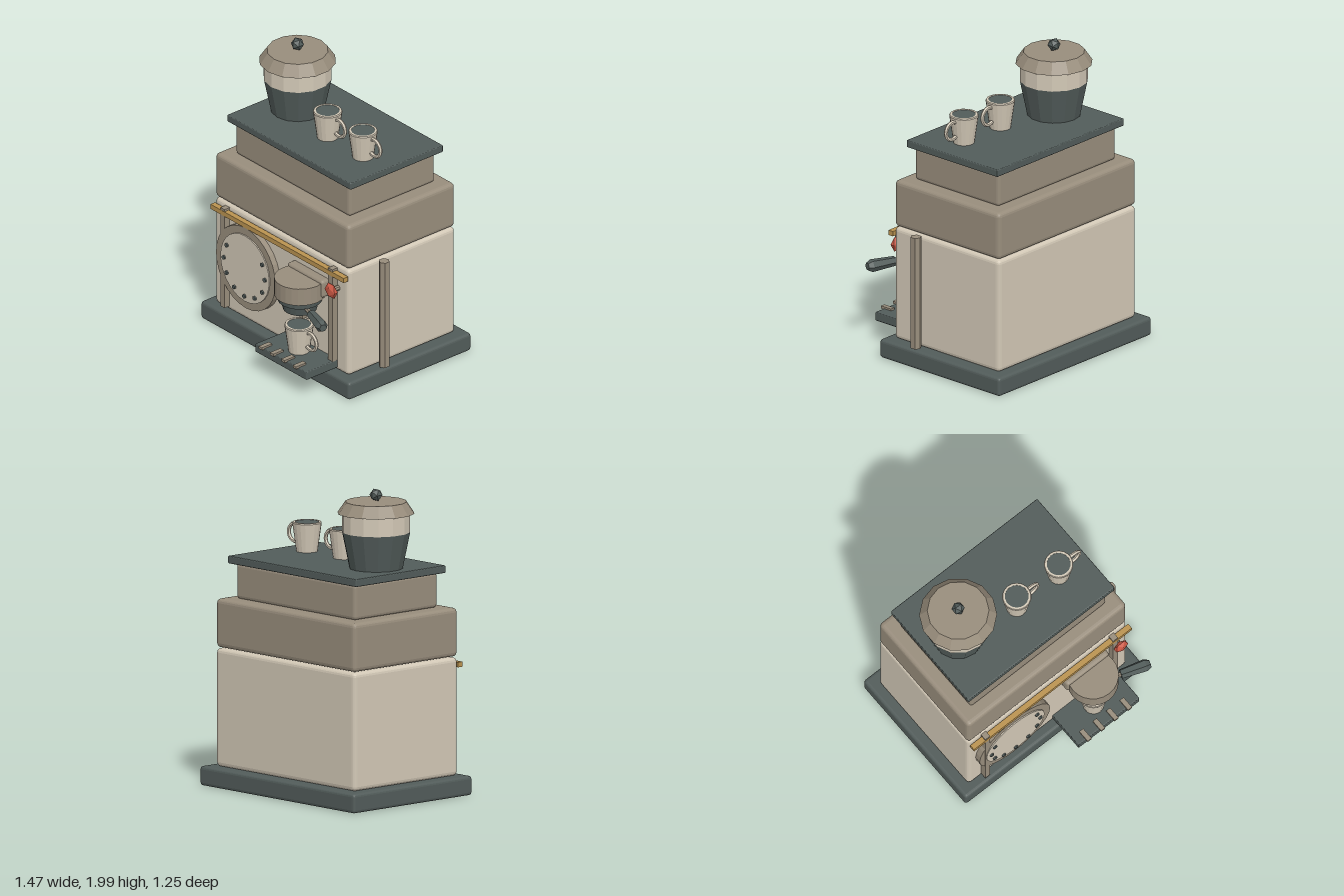
import * as THREE from 'three';
import { RoundedBoxGeometry } from 'three/addons/geometries/RoundedBoxGeometry.js';

const mat = (name, color) => {
  const m = new THREE.MeshStandardMaterial({ color });
  m.name = name;
  return m;
};

export function createModel() {
  const root = new THREE.Group();
  root.name = 'espressoMachine';
  const cream = mat('cream enamel', 0xd2c8b6);
  const taupe = mat('taupe metal', 0x988d7c);
  const slate = mat('dark slate', 0x525c5a);
  const brass = mat('brass', 0xba9350);
  const red = mat('red knob', 0xcc5844);

  // Faceted mesh helper
  const add = (name, geo, material, x = 0, y = 0, z = 0, parent = root) => {
    const g = geo.index ? geo.toNonIndexed() : geo;
    g.computeVertexNormals();
    const m = new THREE.Mesh(g, material);
    m.name = name;
    m.position.set(x, y, z);
    parent.add(m);
    return m;
  };
  // Box given by its limits; r > 0 rounds the edges
  const box = (name, material, [x0, x1], [y0, y1], [z0, z1], r = 0) => {
    const s = [x1 - x0, y1 - y0, z1 - z0];
    const g = r ? new RoundedBoxGeometry(...s, 2, r) : new THREE.BoxGeometry(...s);
    return add(name, g, material, (x0 + x1) / 2, (y0 + y1) / 2, (z0 + z1) / 2);
  };
  // Upright cylinder between two heights
  const drum = (name, material, rTop, rBottom, y0, y1, sides, x, z, parent = root) =>
    add(name, new THREE.CylinderGeometry(rTop, rBottom, y1 - y0, sides), material, x, (y0 + y1) / 2, z, parent);
  // Cylinder facing the front
  const disc = (name, material, r, z0, z1, sides, x, y) => {
    const g = new THREE.CylinderGeometry(r, r, z1 - z0, sides).rotateX(Math.PI / 2);
    return add(name, g, material, x, y, (z0 + z1) / 2);
  };

  // Stacked housing
  box('base', slate, [-0.735, 0.715], [0, 0.125], [-0.625, 0.405], 0.02);
  box('body', cream, [-0.665, 0.64], [0.125, 0.89], [-0.555, 0.345], 0.028);
  box('boilerHousing', taupe, [-0.665, 0.64], [0.895, 1.21], [-0.555, 0.345], 0.028);
  box('upperHousing', taupe, [-0.57, 0.545], [1.21, 1.44], [-0.465, 0.255], 0.022);
  box('cupShelf', slate, [-0.615, 0.59], [1.435, 1.485], [-0.495, 0.285], 0.008);

  // Bean hopper
  const hx = -0.38, hz = -0.105;
  drum('hopperBase', slate, 0.22, 0.172, 1.485, 1.72, 14, hx, hz);
  drum('hopperBand', cream, 0.22, 0.22, 1.72, 1.845, 14, hx, hz);
  drum('hopperLid', taupe, 0.197, 0.248, 1.84, 1.915, 14, hx, hz);
  add('hopperKnob', new THREE.IcosahedronGeometry(0.043), slate, hx, 1.957, hz);

  // Cups with a rim, coffee and a ring handle
  const cup = (name, x, y, z) => {
    const g = new THREE.Group();
    g.name = name;
    g.position.set(x, y, z);
    root.add(g);
    const profile = [[0, 0], [0.068, 0], [0.094, 0.185], [0.09, 0.192], [0.076, 0.192], [0.074, 0.178]]
      .map(p => new THREE.Vector2(...p));
    add('cupWall', new THREE.LatheGeometry(profile, 18), cream, 0, 0, 0, g);
    drum('coffee', slate, 0.077, 0.077, 0.183, 0.19, 18, 0, 0, g);
    const ring = new THREE.TorusGeometry(0.058, 0.013, 6, 16, Math.PI * 1.4).rotateZ(-Math.PI * 0.7);
    add('cupHandle', ring, cream, 0.112, 0.108, 0, g);
  };
  cup('shelfCupRight', 0.025, 1.485, -0.01);
  cup('shelfCupLeft', 0.37, 1.485, -0.01);
  cup('servingCup', 0.28, 0.205, 0.45);

  // Front posts and rail
  for (const x of [-0.54, 0.512]) box('frontPost', taupe, [x - 0.02, x + 0.02], [0.155, 0.87], [0.34, 0.388]);
  box('brassRail', brass, [-0.655, 0.645], [0.822, 0.855], [0.352, 0.39]);

  // Pressure dial with markers
  const dx = -0.315, dy = 0.53;
  disc('dialRim', taupe, 0.29, 0.34, 0.386, 28, dx, dy);
  disc('dialFace', cream, 0.238, 0.38, 0.394, 28, dx, dy);
  for (let i = 0; i < 9; i++) {
    const a = (30 - i * 30) * Math.PI / 180;
    disc('dialMarker', slate, 0.015, 0.39, 0.405, 6, dx + 0.2 * Math.cos(a), dy + 0.2 * Math.sin(a));
  }

  // Brew head, collar and basket
  const bx = 0.28, bz = 0.443;
  box('brewBracket', taupe, [0.105, 0.452], [0.63, 0.755], [0.33, 0.405], 0.022);
  drum('brewHead', taupe, 0.165, 0.165, 0.615, 0.735, 24, bx, bz);
  drum('brewCollar', slate, 0.147, 0.142, 0.575, 0.617, 20, bx, bz);
  drum('filterBasket', slate, 0.125, 0.108, 0.51, 0.577, 20, bx, bz);
  box('spoutBar', taupe, [0.222, 0.335], [0.483, 0.512], [0.435, 0.467]);
  for (const x of [0.238, 0.319]) box('spoutTip', taupe, [x - 0.016, x + 0.016], [0.46, 0.49], [0.435, 0.467]);

  // Portafilter handle swung outward
  const handle = new THREE.Group();
  handle.name = 'portafilterHandle';
  handle.position.set(bx, 0.56, bz);
  handle.rotation.y = -0.32;
  root.add(handle);
  const rod = (name, m, r0, r1, x0, x1) => add(name,
    new THREE.CylinderGeometry(r1, r0, x1 - x0, 6).rotateZ(-Math.PI / 2), m, (x0 + x1) / 2, 0, 0, handle);
  rod('handleNeck', taupe, 0.016, 0.016, 0.1, 0.2);
  rod('handleGrip', slate, 0.032, 0.042, 0.19, 0.36);
  rod('handleEnd', slate, 0.042, 0.026, 0.36, 0.39);

  // Steam knob
  disc('knobStem', taupe, 0.018, 0.34, 0.4, 8, 0.542, 0.73);
  add('steamKnob', new THREE.IcosahedronGeometry(0.056), red, 0.542, 0.73, 0.406).scale.z = 0.5;

  // Drip tray and slats
  box('dripTray', slate, [0.03, 0.533], [0.145, 0.205], [0.33, 0.605], 0.008);
  for (let i = 0; i < 4; i++) {
    const x = 0.105 + i * 0.111;
    box('traySlat', taupe, [x - 0.016, x + 0.016], [0.2, 0.218], [0.54, 0.625]);
  }

  // Side pole
  drum('sidePole', taupe, 0.036, 0.036, 0.145, 0.905, 6, 0.704, 0.1);

  return root;
}
